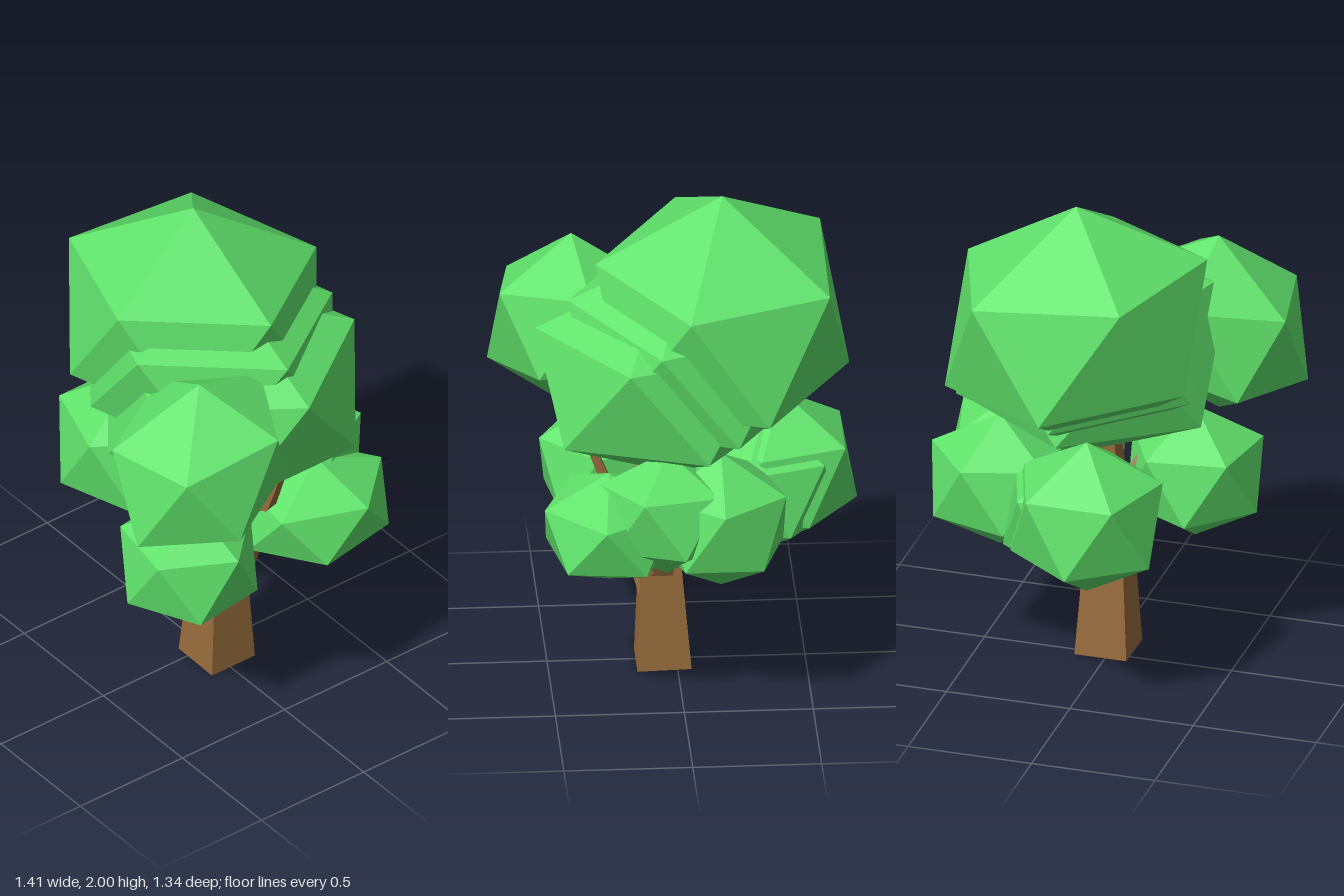
import * as THREE from 'three';

const leafMaterial = new THREE.MeshStandardMaterial({ color: 0x60e26b, flatShading: true });
const barkMaterial = new THREE.MeshStandardMaterial({ color: 0x976c3d, flatShading: true });

// Low-poly leaf clump: an icosahedron standing on one corner, with an upper-ring corner
// at the given angle; slope raises it towards +z
function clump(name, center, radii, degrees, slope = 0) {
  const geometry = new THREE.IcosahedronGeometry(1, 0);
  geometry.rotateZ(Math.atan(2 / (1 + Math.sqrt(5))));
  geometry.rotateY(Math.PI - THREE.MathUtils.degToRad(degrees));
  geometry.scale(...radii);
  geometry.applyMatrix4(new THREE.Matrix4().makeShear(0, 0, 0, 0, 0, slope));
  const position = geometry.attributes.position;
  if (slope) {
    geometry.applyMatrix4(new THREE.Matrix4().makeShear(0, 0, 0, 0, 0, -slope));
    for (let i = 0; i < position.count; i++) {
      position.setY(i, position.getY(i) + slope * position.getZ(i));
    }
  }
  geometry.translate(...center);
  const mesh = new THREE.Mesh(geometry, leafMaterial);
  mesh.name = name;
  return mesh;
}

// Tapered square limb between two points
function limb(name, from, to, halfFrom, halfTo) {
  const a = new THREE.Vector3(...from);
  const b = new THREE.Vector3(...to);
  const geometry = new THREE.CylinderGeometry(halfTo * Math.SQRT2, halfFrom * Math.SQRT2, a.distanceTo(b), 4);
  geometry.rotateY(Math.PI / 4);
  const mesh = new THREE.Mesh(geometry, barkMaterial);
  mesh.position.copy(a).lerp(b, 0.5);
  mesh.quaternion.setFromUnitVectors(new THREE.Vector3(0, 1, 0), b.sub(a).normalize());
  mesh.name = name;
  return mesh;
}

export function createModel() {
  const tree = new THREE.Group();
  tree.name = 'tree';

  // Trunk and branches
  tree.add(
    limb('trunk', [0.052, 0, -0.015], [0.07, 0.7, -0.015], 0.105, 0.062),
    limb('upperTrunk', [0.07, 0.65, -0.015], [0.03, 1.1, -0.02], 0.06, 0.03),
    limb('rightBranch', [0.05, 0.42, 0], [-0.09, 0.75, 0], 0.05, 0.035),
    limb('leftBranch', [0.1, 0.32, -0.03], [0.22, 0.64, 0.04], 0.05, 0.035),
    limb('leftTwig', [0.12, 0.4, -0.08], [0.37, 1.04, -0.09], 0.03, 0.013),
    limb('backBranch', [0.06, 0.4, -0.05], [0.05, 0.85, -0.25], 0.045, 0.03),
    limb('frontTwig', [0.1, 0.65, 0.02], [0.33, 1.05, 0.24], 0.03, 0.013),
  );

  // Upper crown
  tree.add(
    clump('topClump', [-0.175, 1.5, -0.075], [0.55, 0.5, 0.57], 0, 0.1),
    clump('middleClump', [0.06, 1.27, -0.08], [0.55, 0.43, 0.57], 0),
    clump('innerClump', [-0.06, 1.38, -0.075], [0.54, 0.43, 0.56], 0, 0.1),
    clump('frontLeftClump', [0.385, 1.3, 0.33], [0.365, 0.37, 0.39], -28, -0.18),
  );

  // Lower crown
  tree.add(
    clump('lowerRightClump', [-0.41, 0.79, 0.04], [0.33, 0.32, 0.33], 72),
    clump('lowerInnerRightClump', [-0.34, 0.76, -0.03], [0.31, 0.29, 0.31], 72),
    clump('lowerFrontClump', [0.25, 0.715, 0.275], [0.3, 0.28, 0.3], 64),
    clump('lowerBackLeftClump', [0.28, 0.72, -0.32], [0.29, 0.225, 0.34], -12),
    clump('lowerBackClump', [0.06, 0.8, -0.38], [0.29, 0.26, 0.31], -67, -0.1),
    clump('lowerBackRightClump', [-0.15, 0.77, -0.39], [0.29, 0.28, 0.31], -90),
  );
  return tree;
}
